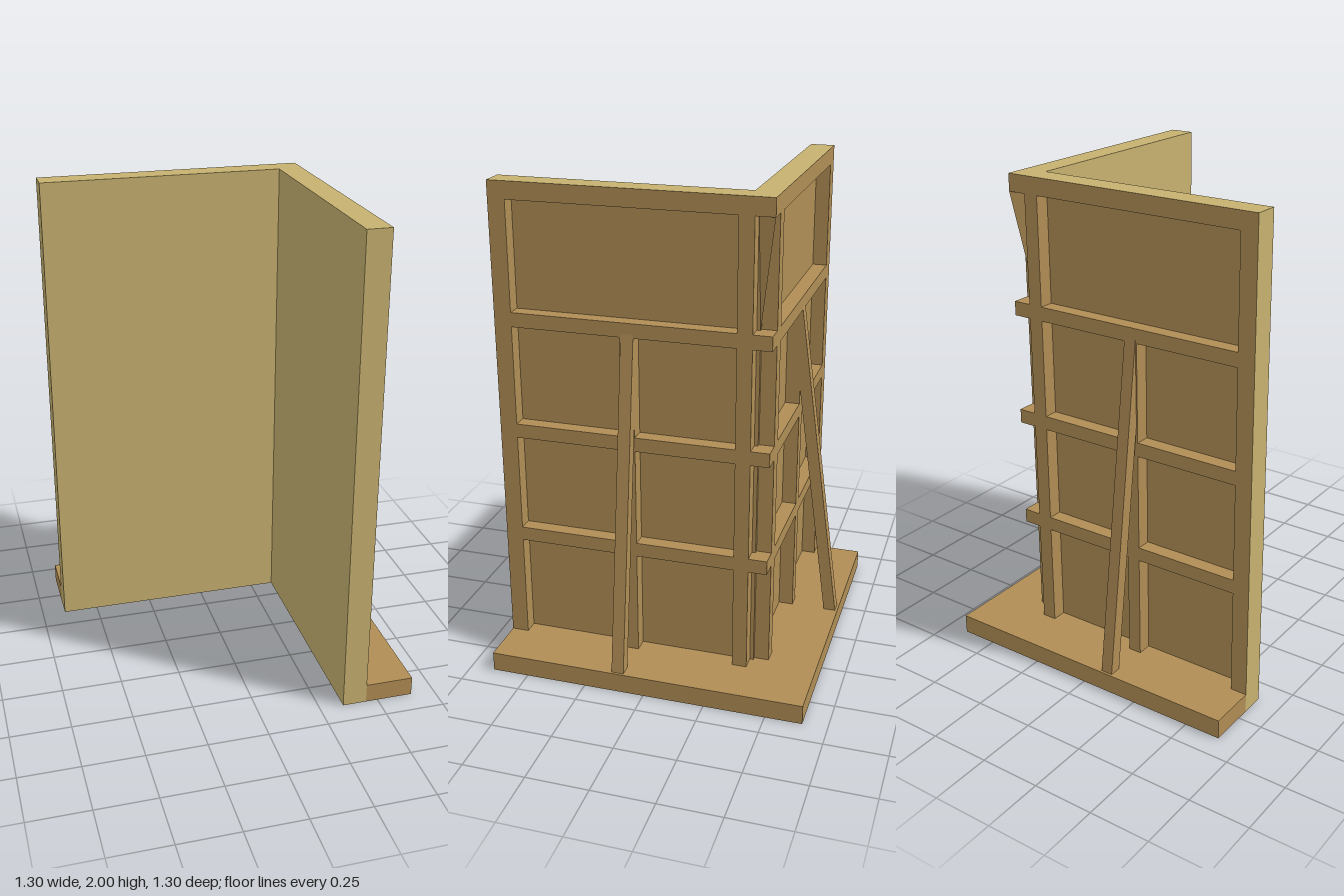
import * as THREE from 'three';
import { ConvexGeometry } from 'three/addons/geometries/ConvexGeometry.js';

const facing = new THREE.MeshStandardMaterial({ color: 0xc6b16f });
facing.name = 'facingTan';
const timber = new THREE.MeshStandardMaterial({ color: 0xb08d55 });
timber.name = 'timberBrown';

const OUT = 0.45; // outer plane of the framing
const BACK = 0.39; // recessed back of the panel
const IN = 0.35; // inner face of the wall

// Places a part of the side arm; the mirrored arm swaps x and z about the corner.
function place(mesh, name, x, y, z, mirrored) {
  mesh.name = name;
  if (mirrored) {
    mesh.position.set(-z, y, -x);
    mesh.rotation.y = Math.PI / 2;
  } else {
    mesh.position.set(x, y, z);
  }
  return mesh;
}

// faces: optional string of t (tan) or b (brown) for +x -x +y -y +z -z
function box(name, [x0, x1], [y0, y1], [z0, z1], mirrored, faces = 'bbbbbb') {
  const m = [...faces].map((f) => (f === 't' ? facing : timber));
  if (mirrored) [m[4], m[5]] = [m[5], m[4]];
  const geometry = new THREE.BoxGeometry(x1 - x0, y1 - y0, z1 - z0);
  const mesh = new THREE.Mesh(geometry, faces.includes('t') ? m : timber);
  return place(mesh, name, (x0 + x1) / 2, (y0 + y1) / 2, (z0 + z1) / 2, mirrored);
}

function createArm(mirrored) {
  const arm = new THREE.Group();
  arm.name = mirrored ? 'backWall' : 'sideWall';
  const depth = [BACK, OUT];

  // wall panel: tan inside, brown behind
  arm.add(box('wallPanel', [IN, BACK], [0, 2], [-BACK, 0.65], mirrored, 'bttttb'));

  // top, bottom and middle rails
  arm.add(box('topRail', depth, [1.93, 2], [-OUT, 0.58], mirrored, 'bbttbb'));
  arm.add(box('bottomRail', depth, [0, 0.08], [-OUT, 0.58], mirrored, 'bbbtbb'));
  for (const y of [0.515, 0.973, 1.435]) {
    arm.add(box('middleRail', depth, [y, y + 0.058], [-OUT, 0.58], mirrored));
  }

  // uprights
  arm.add(box('endPost', depth, [0, 2], [0.58, 0.65], mirrored, 'bbtttb'));
  arm.add(box('middlePost', depth, [0.08, 1.435], [0.085, 0.14], mirrored));
  arm.add(box('cornerPost', depth, [0.08, 1.93], [-0.375, -0.315], mirrored));

  // foot slab
  arm.add(box('baseSlab', [OUT, 0.65], [0, 0.08], [-0.65, 0.65], mirrored));

  // slanted brace
  const outline = new THREE.Shape([
    [0.45, 1.45], [0.45, 1.1], [0.59, 0.08], [0.64, 0.08],
  ].map(([x, y]) => new THREE.Vector2(x - 0.5, y)));
  const brace = new THREE.ExtrudeGeometry(outline, { depth: 0.05, bevelEnabled: false });
  brace.translate(0, 0, -0.025);
  arm.add(place(new THREE.Mesh(brace, timber), 'brace', 0.5, 0, 0.11, mirrored));
  return arm;
}

export function createModel() {
  const model = new THREE.Group();
  model.name = 'bracedCornerWall';
  model.add(createArm(false), createArm(true));

  // tapered wedge under the top rail at the corner
  const gusset = new THREE.Mesh(new ConvexGeometry([
    new THREE.Vector3(0.45, 1.93, -0.45),
    new THREE.Vector3(0.39, 1.93, -0.375),
    new THREE.Vector3(0.375, 1.93, -0.39),
    new THREE.Vector3(0.39, 1.493, -0.39),
  ]), timber);
  gusset.name = 'cornerGusset';
  model.add(gusset);
  return model;
}
